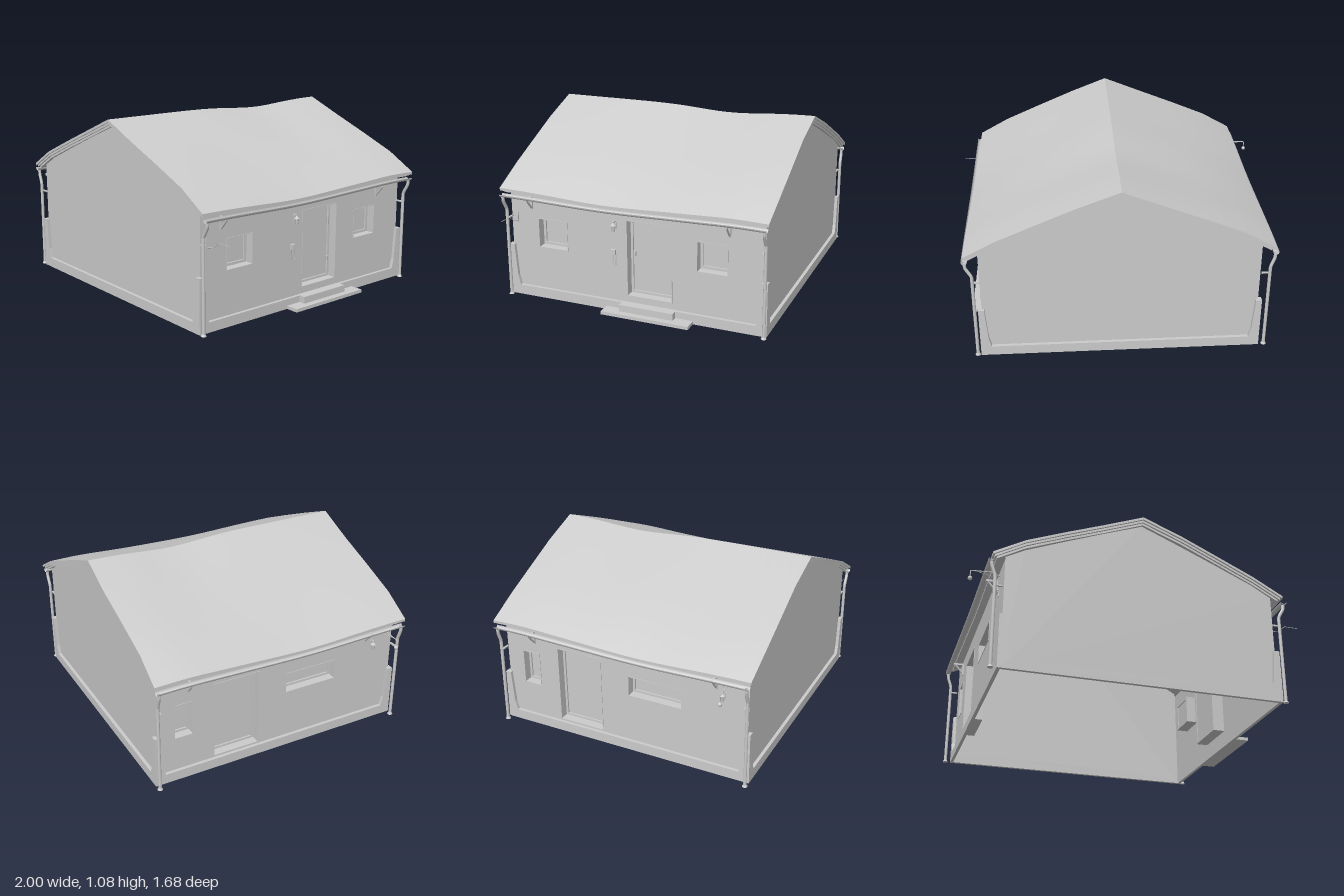
import * as THREE from 'three';
import { toCreasedNormals } from 'three/addons/utils/BufferGeometryUtils.js';

const mat = new THREE.MeshStandardMaterial({ color: 0xcccccc, side: THREE.DoubleSide });

function add(parent, name, geo, x = 0, y = 0, z = 0) {
  const m = new THREE.Mesh(geo, mat);
  m.name = name;
  m.position.set(x, y, z);
  parent.add(m);
  return m;
}
const box = (w, h, d) => new THREE.BoxGeometry(w, h, d);
const shapeOf = pts => new THREE.Shape(pts.map(p => new THREE.Vector2(...p)));
const rect = (a, b, c, d) => [[a, c], [b, c], [b, d], [a, d]];
const extrude = (shape, depth) => new THREE.ExtrudeGeometry(shape, { depth, bevelEnabled: false });
const tube = (pts, r, n = 8) => {
  const path = new THREE.CurvePath();
  const v = pts.map(p => new THREE.Vector3(...p));
  for (let i = 1; i < v.length; i++) path.add(new THREE.LineCurve3(v[i - 1], v[i]));
  return new THREE.TubeGeometry(path, (v.length - 1) * 12, r, n);
};
function ring([a, b, c, d], w, depth) {
  const s = shapeOf(rect(a, b, c, d));
  s.holes.push(shapeOf(rect(a + w, b - w, c + w, d - w)));
  return extrude(s, depth);
}

// Old sagging roof: height offset along the ridge and along the eaves
const bump = (z, c, w) => Math.exp(-(((z - c) / w) ** 2));
const sagRidge = z => -0.025 * bump(z, -0.3, 0.28);
const sagEave = z => -0.022 * bump(z, 0.15, 0.4) + 0.008 * bump(z, -0.65, 0.2);
const sag = (x, z) => THREE.MathUtils.lerp(sagRidge(z), sagEave(z), Math.min(1, Math.abs(x) / 0.87));

// One roof layer: a folded slab swept along z
function roofLayer(drop, thick, reach, halfZ) {
  const half = [[0, 1.08], [0.24, 0.985], [0.47, 0.89], [0.7, 0.792], [reach, 0.792 - (reach - 0.7) * 0.56]];
  const top = [...half.slice(1).reverse().map(([x, y]) => [-x, y]), ...half];
  const loop = [...top.map(([x, y]) => [x, y - drop]), ...top.reverse().map(([x, y]) => [x, y - drop - thick])];
  const n = loop.length, steps = 24, pos = [], idx = [];
  for (let i = 0; i <= steps; i++) {
    for (const [x, y] of loop) {
      const z = halfZ * (2 * i / steps - 1);
      const wob = i % steps ? 0 : 0.006 * Math.sin(x * 7);
      const flare = x > 0 ? -0.012 * z * x : 0;
      pos.push(x + flare, y + sag(x, z), z + wob);
    }
  }
  for (let i = 0; i < steps; i++) for (let j = 0; j < n; j++) {
    const a = i * n + j, b = i * n + (j + 1) % n;
    idx.push(a, a + n, b, b, a + n, b + n);
  }
  for (let j = 0; j < n / 2 - 1; j++) {
    const k = n - 1 - j, e = steps * n;
    idx.push(j, j + 1, k, j + 1, k - 1, k, e + j, e + k, e + j + 1, e + j + 1, e + k, e + k - 1);
  }
  const g = new THREE.BufferGeometry();
  g.setAttribute('position', new THREE.Float32BufferAttribute(pos, 3));
  g.setIndex(idx);
  return toCreasedNormals(g, 0.3);
}

// Plinth band with raised corner pieces
const plinth = w => extrude(shapeOf([[-w, 0], [w, 0], [w, 0.32], [w - 0.035, 0.32], [w - 0.05, 0.12], [w - 0.065, 0.06],
  [-w + 0.065, 0.06], [-w + 0.05, 0.12], [-w + 0.035, 0.32], [-w, 0.32]]), 0.02);

// Recessed door or window; o = [u0, u1, y0, y1], local z points outwards
function opening(parent, name, o, border) {
  const g = new THREE.Group();
  g.name = name;
  const [a, b, c, d] = o;
  add(g, 'reveal', ring(o, 0.004, 0.078), 0, 0, -0.075);
  add(g, 'frame', ring(o, border, 0.025), 0, 0, -0.075);
  add(g, 'panel', box(b - a - border, d - c - border, 0.01), (a + b) / 2, (c + d) / 2, -0.065);
  parent.add(g);
  return g;
}

function sideWall(name, openings) {
  const g = new THREE.Group();
  g.name = name;
  const s = shapeOf(rect(-0.8, 0.8, 0, 0.67));
  for (const [label, o, border] of openings) {
    s.holes.push(shapeOf(rect(...o)));
    opening(g, label, o, border);
  }
  add(g, 'wall', new THREE.ShapeGeometry(s));
  add(g, 'plinth', plinth(0.82));
  return g;
}

// Wall lantern standing out from the wall
function lantern(parent, u, y) {
  const g = new THREE.Group();
  g.name = 'lantern';
  g.position.set(u, y, 0);
  add(g, 'lanternGlass', new THREE.CylinderGeometry(0.013, 0.009, 0.035, 6), 0, -0.012, 0.025);
  add(g, 'lanternCap', new THREE.ConeGeometry(0.018, 0.018, 6), 0, 0.014, 0.025);
  add(g, 'lanternArm', box(0.008, 0.008, 0.03), 0, 0.025, 0.012);
  add(g, 'lanternPlate', box(0.014, 0.04, 0.006), 0, 0, 0.002);
  parent.add(g);
}

// Eave bracket: upright, arm and diagonal brace
function bracket(parent, u) {
  const g = new THREE.Group();
  g.name = 'eaveBracket';
  add(g, 'upright', box(0.014, 0.08, 0.01), u, 0.595, 0.005);
  add(g, 'arm', box(0.014, 0.012, 0.07), u, 0.632, 0.035);
  add(g, 'brace', tube([[u, 0.565, 0.005], [u, 0.63, 0.06]], 0.006, 6));
  parent.add(g);
}

export function createModel() {
  const house = new THREE.Group();
  house.name = 'house';

  // Roof in three stepped layers
  add(house, 'roofCovering', roofLayer(0, 0.016, 0.885, 0.835));
  add(house, 'roofBoards', roofLayer(0.014, 0.016, 0.872, 0.825));
  add(house, 'roofSoffit', roofLayer(0.028, 0.016, 0.86, 0.815));

  // Gable walls and their plinths
  const gable = shapeOf([[-0.81, 0], [0.81, 0], [0.81, 0.69], [0.7, 0.752], [0, 1.04], [-0.7, 0.752], [-0.81, 0.69]]);
  for (const s of [1, -1]) {
    const g = new THREE.Group();
    g.name = s > 0 ? 'frontGable' : 'backGable';
    add(g, 'gableWall', new THREE.ShapeGeometry(gable));
    add(g, 'gablePlinth', plinth(0.83));
    g.position.z = 0.8 * s;
    g.rotation.y = s > 0 ? 0 : Math.PI;
    house.add(g);
  }

  // Entrance side (local u = -z)
  const left = sideWall('entranceSide', [
    ['entranceDoor', [-0.04, 0.245, 0.1, 0.57], 0.018],
    ['window', [-0.62, -0.425, 0.32, 0.505], 0.02],
    ['window', [0.395, 0.585, 0.32, 0.505], 0.02],
  ]);
  left.position.x = 0.81;
  left.rotation.y = Math.PI / 2;
  add(left, 'lowerStep', box(0.55, 0.02, 0.1), 0.105, 0.01, 0.05);
  add(left, 'upperStep', box(0.34, 0.042, 0.06), 0.1, 0.04, 0.03);
  add(left, 'doorHandle', box(0.008, 0.03, 0.015), -0.01, 0.35, -0.053);
  for (const y of [0.2, 0.465]) add(left, 'hinge', new THREE.CylinderGeometry(0.005, 0.005, 0.06, 8), 0.222, y, -0.05);
  lantern(left, -0.11, 0.53);
  add(left, 'bellBox', box(0.028, 0.032, 0.018), -0.122, 0.365, 0.009);
  add(left, 'bellCable', tube([[-0.126, 0.35, 0.008], [-0.126, 0.3, 0.008], [-0.116, 0.282, 0.008], [-0.106, 0.29, 0.008], [-0.106, 0.35, 0.008]], 0.003, 5));
  add(left, 'poleHolder', box(0.008, 0.065, 0.008), -0.76, 0.495, 0.004);
  add(left, 'pole', tube([[-0.755, 0.475, 0], [-0.755, 0.49, 0.06], [-0.755, 0.525, 0.105], [-0.755, 0.525, 0.19]], 0.002, 5));
  for (const u of [-0.66, 0.59]) bracket(left, u);
  house.add(left);

  // Opposite side (local u = z)
  const right = sideWall('rearSide', [
    ['rearDoor', [-0.44, -0.14, 0.07, 0.56], 0.018],
    ['wideWindow', [0.04, 0.39, 0.36, 0.49], 0.018],
    ['smallWindow', [-0.69, -0.57, 0.27, 0.49], 0.018],
  ]);
  right.position.x = -0.81;
  right.rotation.y = -Math.PI / 2;
  lantern(right, 0.65, 0.53);
  for (const u of [-0.6, 0.6]) bracket(right, u);
  add(right, 'lampArm', tube([[0.7, 0.61, 0], [0.7, 0.632, 0.06], [0.7, 0.625, 0.175], [0.7, 0.585, 0.175]], 0.003, 6));
  add(right, 'lampStay', tube([[0.66, 0.625, 0.03], [0.7, 0.625, 0.14]], 0.002, 5));
  add(right, 'lampBulb', new THREE.SphereGeometry(0.013, 10, 8), 0.7, 0.575, 0.175);
  house.add(right);

  // Gutters and downpipes
  for (const s of [1, -1]) {
    const geo = new THREE.CylinderGeometry(0.018, 0.018, 1.65, 10, 24, true, -Math.PI / 2, Math.PI);
    geo.rotateX(Math.PI / 2);
    const p = geo.attributes.position;
    for (let i = 0; i < p.count; i++) p.setY(i, p.getY(i) + sagEave(p.getZ(i)) * 0.6);
    geo.computeVertexNormals();
    add(house, 'gutter', geo, 0.886 * s, 0.655, 0);
    for (const z of [0.81, -0.81]) {
      const x = s > 0 ? 0.85 : 0.863;
      add(house, 'downpipe', tube([[0.886 * s, 0.645, z], [0.884 * s, 0.61, z], [x * s, 0.55, z], [x * s, 0.01, z]], 0.01));
      add(house, 'pipeFoot', new THREE.CylinderGeometry(0.011, 0.017, 0.012, 8), x * s, 0.006, z);
      add(house, 'pipeClamp', box(0.05, 0.008, 0.012), (x - 0.02) * s, 0.5, z > 0 ? 0.795 : -0.795);
    }
  }
  return house;
}
